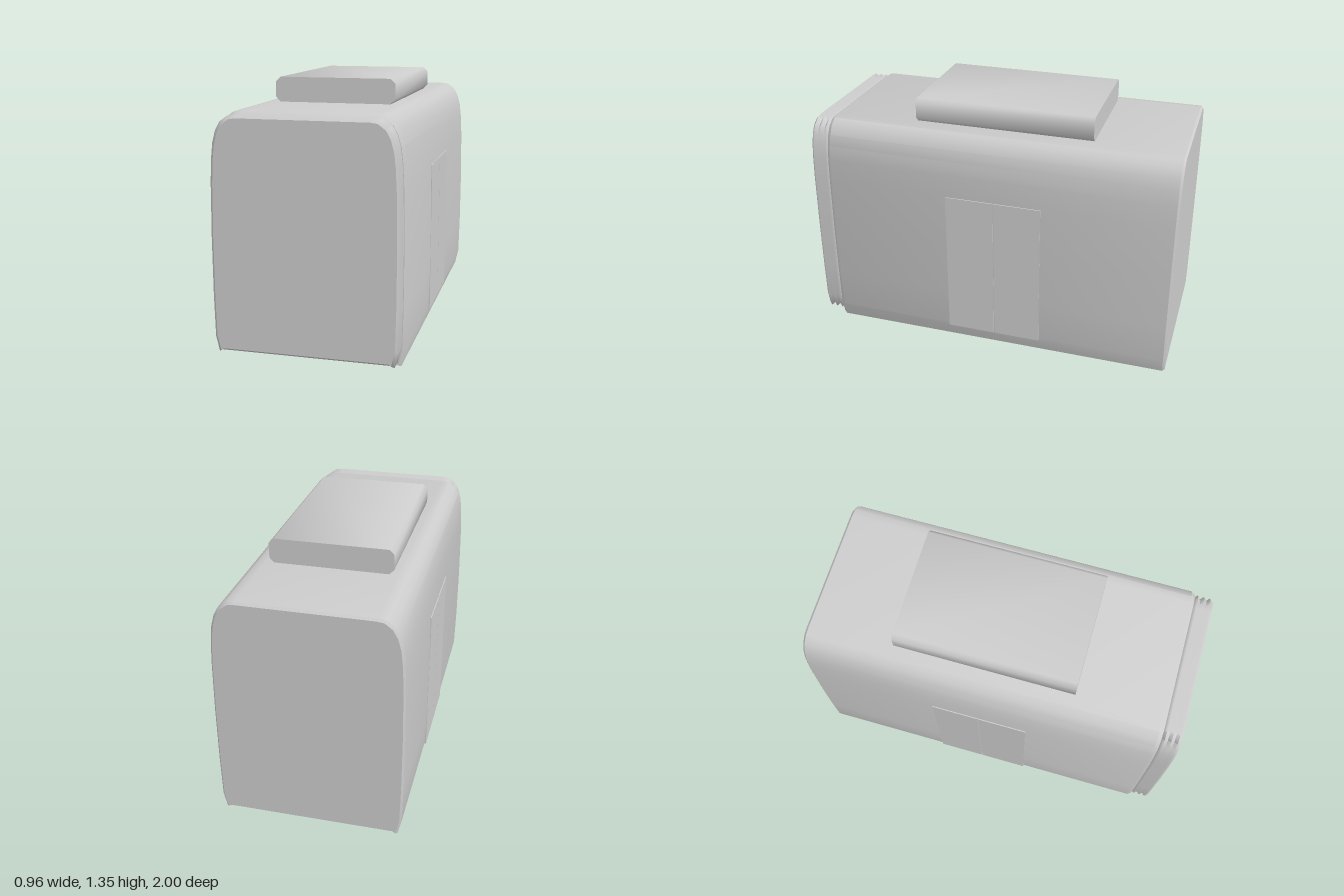
import * as THREE from 'three';
import { toCreasedNormals, mergeVertices } from 'three/addons/utils/BufferGeometryUtils.js';

// Right half of the carriage cross-section, from floor to roof
const HALF = [
  [0.44, 0.01], [0.455, 0], [0.474, 0.08], [0.479, 0.3], [0.48, 0.6], [0.476, 0.88],
  [0.47, 1.0], [0.461, 1.08], [0.445, 1.14], [0.42, 1.185], [0.38, 1.215], [0.34, 1.22],
];
const PROFILE = [...HALF, ...HALF.map(([x, y]) => [-x, y]).reverse()];

// Squeeze the cross-section to a half width and a bottom/top height
const section = (z, side, bottom, top) =>
  PROFILE.map(([x, y]) => [x * side / 0.48, bottom + y * (top - bottom) / 1.22, z]);

// Skin a list of rings running from back to front, optionally closing the ends
function loft(rings, crease, capBack, capFront) {
  const n = rings[0].length, pos = rings.flat(2), index = [];
  for (let i = 0; i < rings.length - 1; i++) {
    for (let j = 0; j < n; j++) {
      const k = (j + 1) % n, a = i * n + j, b = i * n + k;
      index.push(a, b, b + n, a, b + n, a + n);
    }
  }
  const cap = (i, front) => {
    const c = pos.length / 3;
    pos.push(0, 0.61, rings[i][0][2]);
    for (let j = 0; j < n; j++) {
      const a = i * n + j, b = i * n + (j + 1) % n;
      index.push(c, front ? a : b, front ? b : a);
    }
  };
  if (capBack) cap(0, false);
  if (capFront) cap(rings.length - 1, true);
  const g = new THREE.BufferGeometry();
  g.setAttribute('position', new THREE.Float32BufferAttribute(pos, 3));
  g.setIndex(index);
  return toCreasedNormals(g, crease);
}

export function createModel() {
  const group = new THREE.Group();
  const grey = new THREE.MeshStandardMaterial({ color: 0xcccccc });
  grey.name = 'light grey';
  const add = (name, geometry) => {
    const mesh = new THREE.Mesh(geometry, grey);
    mesh.name = name;
    group.add(mesh);
    return mesh;
  };

  // Carriage shell with small bevels at both ends
  add('carriageBody', loft([
    section(-1, 0.47, 0.008, 1.21),
    section(-0.988, 0.48, 0, 1.22),
    section(0.88, 0.48, 0, 1.22),
    section(0.9, 0.468, 0.01, 1.208),
  ], 0.6, true, true));

  // Folded gangway bellows: three ridges
  const folds = [];
  for (let i = 0; i <= 6; i++) {
    const z = 0.9 + i / 60;
    folds.push(i % 2 ? section(z, 0.468, 0.03, 1.212) : section(z, 0.453, 0.043, 1.197));
  }
  add('gangwayBellows', loft(folds, 1.7, false, false));

  // Flat panel closing the bellows
  const end = section(1, 0.453, 0.043, 1.197).map(([x, y]) => new THREE.Vector2(x, y));
  add('gangwayEndPanel', new THREE.ShapeGeometry(new THREE.Shape(end))).position.z = 1;

  // Roof unit with chamfered long edges
  const w = 0.32, y0 = 1.22, y1 = 1.35, c = 0.025;
  const outline = new THREE.Shape([
    [w - c, y0], [w, y0 + c], [w, y1 - c], [w - c, y1],
    [c - w, y1], [-w, y1 - c], [-w, y0 + c], [c - w, y0],
  ].map(([x, y]) => new THREE.Vector2(x, y)));
  const unit = new THREE.ExtrudeGeometry(outline, { depth: 0.96, bevelEnabled: false });
  unit.deleteAttribute('normal');
  unit.deleteAttribute('uv');
  add('roofUnit', toCreasedNormals(mergeVertices(unit), 0.9)).position.z = -0.53;

  // Double sliding doors on both sides
  for (const side of [1, -1]) {
    for (const [z0, z1] of [[-0.30, -0.047], [-0.043, 0.22]]) {
      const leaf = add(side > 0 ? 'leftDoorLeaf' : 'rightDoorLeaf',
        new THREE.BoxGeometry(0.008, 0.81, z1 - z0));
      leaf.position.set(side * 0.477, 0.475, (z0 + z1) / 2);
    }
  }
  return group;
}
